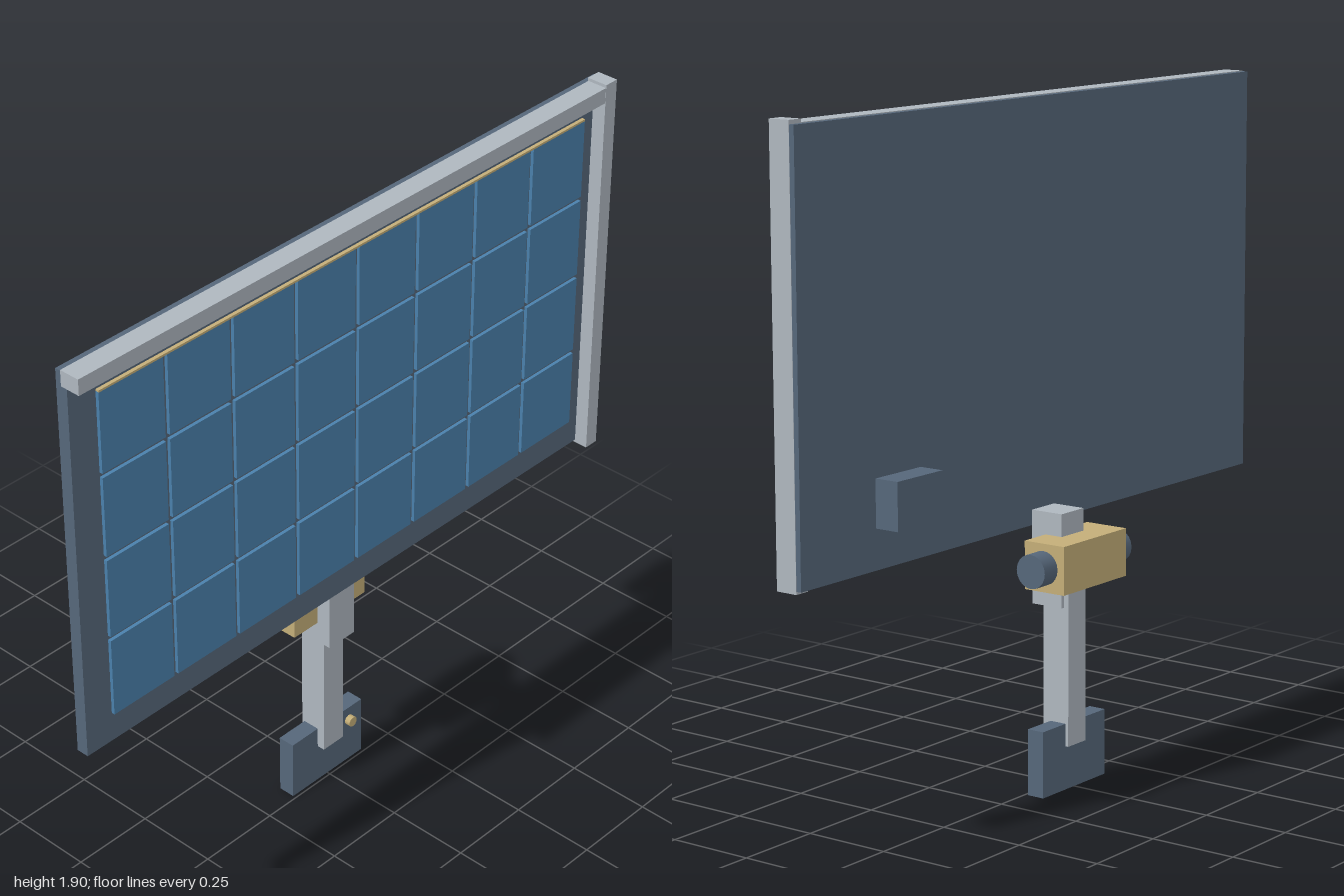
import * as THREE from 'three';

export function createModel() {
  const model = new THREE.Group();
  model.name = 'solarPanel';

  const paint = (name, color) => {
    const m = new THREE.MeshStandardMaterial({ color });
    m.name = name;
    return m;
  };
  const slate = paint('slate', 0x56677a);
  const blue = paint('cellBlue', 0x4a80ab);
  const grey = paint('lightGrey', 0xafb7bf);
  const gold = paint('gold', 0xc4ae78);

  const add = (name, geometry, material, x, y, z) => {
    const mesh = new THREE.Mesh(geometry, material);
    mesh.name = name;
    mesh.position.set(x, y, z);
    model.add(mesh);
    return mesh;
  };
  // Box given by its lower and upper limits on each axis
  const box = (name, material, [x0, x1], [y0, y1], [z0, z1]) =>
    add(name, new THREE.BoxGeometry(x1 - x0, y1 - y0, z1 - z0), material,
      (x0 + x1) / 2, (y0 + y1) / 2, (z0 + z1) / 2);

  // Panel with its two edge rails
  box('panelBack', slate, [-1, 0.999], [0.73, 1.894], [0.05, 0.087]);
  box('topRail', grey, [-1, 0.96], [1.85, 1.896], [0.067, 0.128]);
  box('sideRail', grey, [0.955, 1], [0.722, 1.905], [0.065, 0.129]);

  // Grid of solar cells, 8 by 4
  const cell = new THREE.BoxGeometry(0.215, 0.236, 0.01);
  for (let row = 0; row < 4; row++) {
    for (let col = 0; col < 8; col++) {
      add('solarCell', cell, blue, (col - 3.5) * 0.2293, 1.311 + (row - 1.5) * 0.2493, 0.092);
    }
  }
  box('busBar', gold, [-0.91, 0.91], [1.802, 1.808], [0.087, 0.0975]);

  // Junction box behind the panel
  box('junctionBox', slate, [0.556, 0.738], [0.85, 0.98], [-0.049, 0.023]);

  // Pivot: housing, axle and bracket
  box('pivotHousing', gold, [-0.143, 0.143], [0.578, 0.712], [-0.131, 0]);
  const axle = add('pivotAxle', new THREE.CylinderGeometry(0.047, 0.047, 0.4, 20), slate, 0, 0.645, -0.063);
  axle.rotation.z = Math.PI / 2;
  box('bracket', grey, [-0.05, 0.05], [0.513, 0.775], [-0.055, 0.045]);

  // Post, foot plate and bolt
  box('post', grey, [-0.04, 0.04], [0.123, 0.65], [-0.07, 0.014]);
  box('footPlate', slate, [-0.143, 0.143], [0, 0.187], [-0.061, -0.01]);
  const bolt = add('bolt', new THREE.CylinderGeometry(0.016, 0.016, 0.025, 10), gold, 0.09, 0.144, -0.005);
  bolt.rotation.x = Math.PI / 2;

  return model;
}
